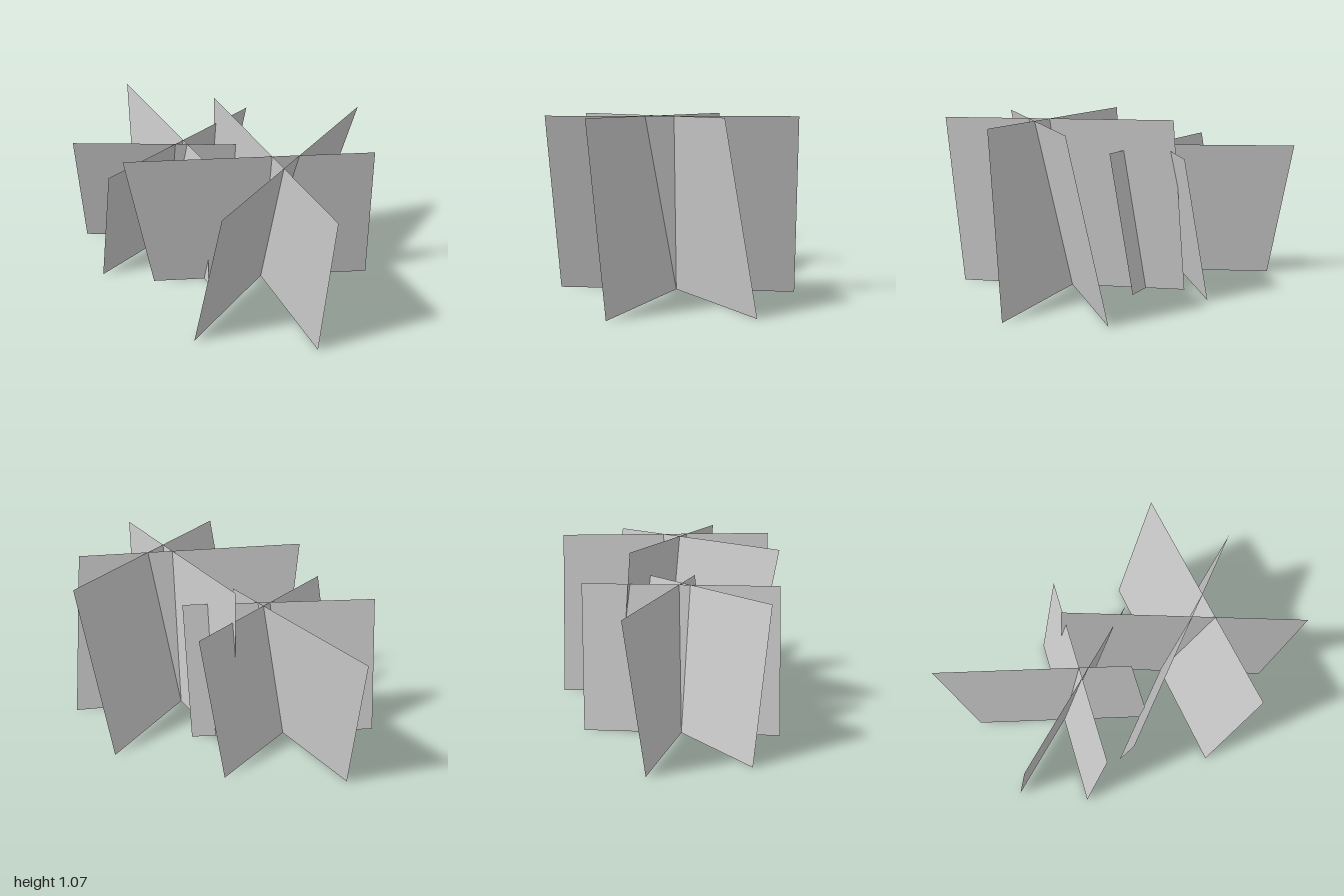
import * as THREE from 'three';

const paleGrey = new THREE.MeshStandardMaterial({ color: 0xcccccc, side: THREE.DoubleSide });
paleGrey.name = 'paleGrey';

// One leaning card: ground centre, half of its ground edge, and the shift of its top edge
function makeCard(name, [cx, cz], height, [hx, hz], [ox, oz]) {
  const geometry = new THREE.BufferGeometry();
  geometry.setAttribute('position', new THREE.Float32BufferAttribute([
    cx - hx, 0, cz - hz,
    cx + hx, 0, cz + hz,
    cx + hx + ox, height, cz + hz + oz,
    cx - hx + ox, height, cz - hz + oz,
  ], 3));
  geometry.setAttribute('uv', new THREE.Float32BufferAttribute([0, 0, 1, 0, 1, 1, 0, 1], 2));
  geometry.setIndex([0, 1, 2, 0, 2, 3]);
  geometry.computeVertexNormals();
  const mesh = new THREE.Mesh(geometry, paleGrey);
  mesh.name = name;
  return mesh;
}

// Two tufts of three cards crossing at a shared ground point
const tufts = [
  {
    name: 'smallTuft', centre: [-0.405, -0.245], height: 0.88,
    cards: [
      { half: [0.595, -0.045], lean: [0.047, 0.146] },
      { half: [0.382, -0.456], lean: [0.145, 0.094] },
      { half: [0.345, 0.487], lean: [-0.015, -0.14] },
    ],
  },
  {
    name: 'tallTuft', centre: [0.284, 0.129], height: 1.07,
    cards: [
      { half: [0.714, -0.115], lean: [-0.09, 0.161] },
      { half: [0.38, -0.613], lean: [0.18, 0.134] },
      { half: [0.375, 0.618], lean: [0.01, 0.1] },
    ],
  },
];

export function createModel() {
  const model = new THREE.Group();
  model.name = 'crossedCards';
  for (const { name, centre, height, cards } of tufts) {
    const tuft = new THREE.Group();
    tuft.name = name;
    cards.forEach(({ half, lean }, i) => {
      tuft.add(makeCard(`${name}Card${i + 1}`, centre, height, half, lean));
    });
    model.add(tuft);
  }
  return model;
}
